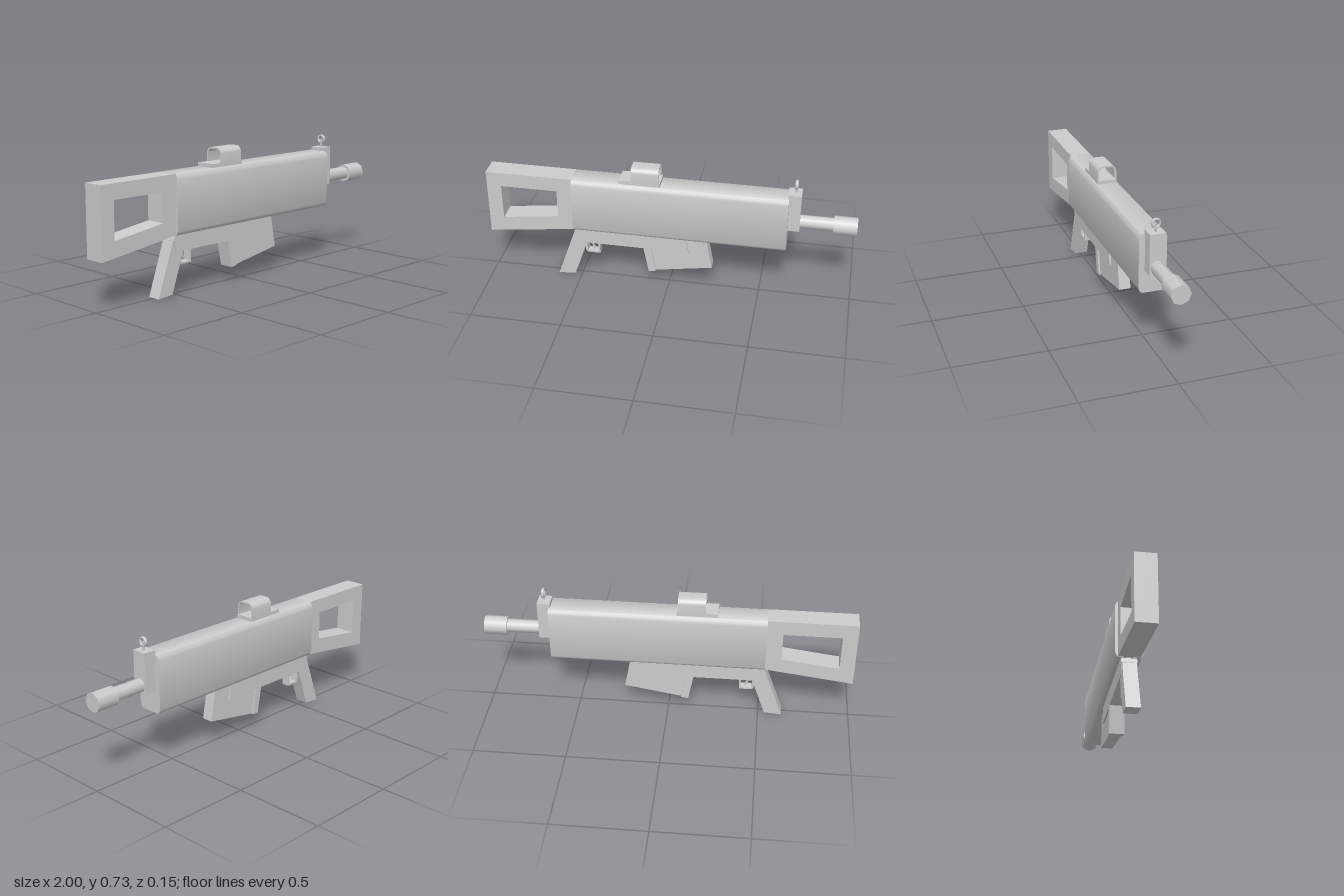
import * as THREE from 'three';
import { toCreasedNormals } from 'three/addons/utils/BufferGeometryUtils.js';

const material = new THREE.MeshStandardMaterial({ color: 0xcccccc });

const toPoints = (list) => list.map(([x, y]) => new THREE.Vector2(x, y));

export function createModel() {
  const group = new THREE.Group();

  function add(name, geometry, x = 0, y = 0, z = 0) {
    const mesh = new THREE.Mesh(geometry, material);
    mesh.name = name;
    mesh.position.set(x, y, z);
    group.add(mesh);
    return mesh;
  }

  // Side outline in x/y, extruded evenly to both sides of z = 0
  function plate(name, outline, halfWidth, hole) {
    const shape = new THREE.Shape(toPoints(outline));
    if (hole) shape.holes.push(new THREE.Path(toPoints(hole)));
    const geometry = new THREE.ExtrudeGeometry(shape, { depth: halfWidth * 2, bevelEnabled: false });
    geometry.translate(0, 0, -halfWidth);
    return add(name, geometry);
  }

  // Cross-section in z/y, extruded along x from x0 to x1
  function alongX(name, shape, x0, x1) {
    let geometry = new THREE.ExtrudeGeometry(shape, { depth: x1 - x0, bevelEnabled: false, curveSegments: 5 });
    geometry.rotateY(Math.PI / 2);
    geometry = toCreasedNormals(geometry, 0.7);
    return add(name, geometry, x0);
  }

  function box(name, x0, x1, y0, y1, halfWidth) {
    return add(name, new THREE.BoxGeometry(x1 - x0, y1 - y0, halfWidth * 2), (x0 + x1) / 2, (y0 + y1) / 2);
  }

  function tubeSection(name, radius, x0, x1, y) {
    const geometry = new THREE.CylinderGeometry(radius, radius, x1 - x0, 8);
    geometry.rotateZ(-Math.PI / 2);
    return add(name, geometry, (x0 + x1) / 2, y);
  }

  // Main body with rounded long edges
  const w = 0.073, f = 0.055, bottom = 0.32, top = 0.637;
  const section = new THREE.Shape();
  section.moveTo(-f, bottom);
  section.lineTo(f, bottom);
  section.quadraticCurveTo(0.067, bottom + 0.006, w, bottom + 0.03);
  section.lineTo(w, top - 0.032);
  section.quadraticCurveTo(0.067, top - 0.006, f, top);
  section.lineTo(-f, top);
  section.quadraticCurveTo(-0.067, top - 0.006, -w, top - 0.032);
  section.lineTo(-w, bottom + 0.03);
  section.quadraticCurveTo(-0.067, bottom + 0.006, -f, bottom);
  alongX('body', section, -0.525, 0.637);

  // Open-framed stock
  plate('stock',
    [[-1, 0.26], [-0.525, 0.322], [-0.525, 0.636], [-1, 0.636]], 0.057,
    [[-0.92, 0.355], [-0.92, 0.555], [-0.61, 0.555], [-0.61, 0.396]]);

  // Grip, lower receiver with magazine well, and magazine
  plate('grip', [[-0.63, 0.002], [-0.535, 0.01], [-0.46, 0.23], [-0.44, 0.33], [-0.515, 0.33]], 0.037);
  plate('lowerReceiver',
    [[-0.515, 0.325], [-0.53, 0.29], [-0.51, 0.23], [-0.14, 0.23], [-0.112, 0.08], [-0.073, 0.086],
      [-0.097, 0.23], [0.11, 0.23], [0.095, 0.325]], 0.0415).scale.z = 0.99;
  plate('magazine', [[-0.09, 0.084], [0.24, 0.14], [0.205, 0.33], [-0.12, 0.33]], 0.032);

  // Trigger guard and curved trigger
  plate('triggerGuard',
    [[-0.475, 0.24], [-0.47, 0.165], [-0.46, 0.155], [-0.39, 0.155], [-0.39, 0.24]], 0.022,
    [[-0.463, 0.235], [-0.459, 0.165], [-0.4, 0.165], [-0.4, 0.235]]);
  const triggerCurve = new THREE.QuadraticBezierCurve3(
    new THREE.Vector3(-0.44, 0.235, 0), new THREE.Vector3(-0.44, 0.195, 0), new THREE.Vector3(-0.42, 0.172, 0));
  add('trigger', new THREE.TubeGeometry(triggerCurve, 6, 0.006, 6));

  // Rear sight: base plate and arched hood
  box('sightBase', -0.265, -0.045, 0.63, 0.657, 0.053);
  const arch = (path, half, y0, y1, r) => {
    path.moveTo(half, y0);
    path.lineTo(half, y1 - r);
    path.absarc(half - r, y1 - r, r, 0, Math.PI / 2, false);
    path.lineTo(-half + r, y1);
    path.absarc(-half + r, y1 - r, r, Math.PI / 2, Math.PI, false);
    path.lineTo(-half, y0);
    return path;
  };
  const hood = arch(new THREE.Shape(), 0.053, 0.65, 0.735, 0.034);
  hood.holes.push(arch(new THREE.Path(), 0.044, 0.6505, 0.726, 0.025));
  alongX('sightHood', hood, -0.2, -0.052);

  // Front sight: block, ring and post
  box('frontSightBlock', 0.63, 0.7, 0.44, 0.657, 0.042);
  const ring = new THREE.TorusGeometry(0.021, 0.0055, 8, 20);
  ring.rotateY(Math.PI / 2);
  ring.scale(1.6, 1, 1);
  add('frontSightRing', ring, 0.669, 0.702);
  box('frontSightPost', 0.662, 0.676, 0.65, 0.702, 0.003);

  // Barrel and eight-sided muzzle
  tubeSection('barrel', 0.037, 0.69, 0.89, 0.48);
  tubeSection('muzzle', 0.052, 0.876, 1, 0.478);

  return group;
}
